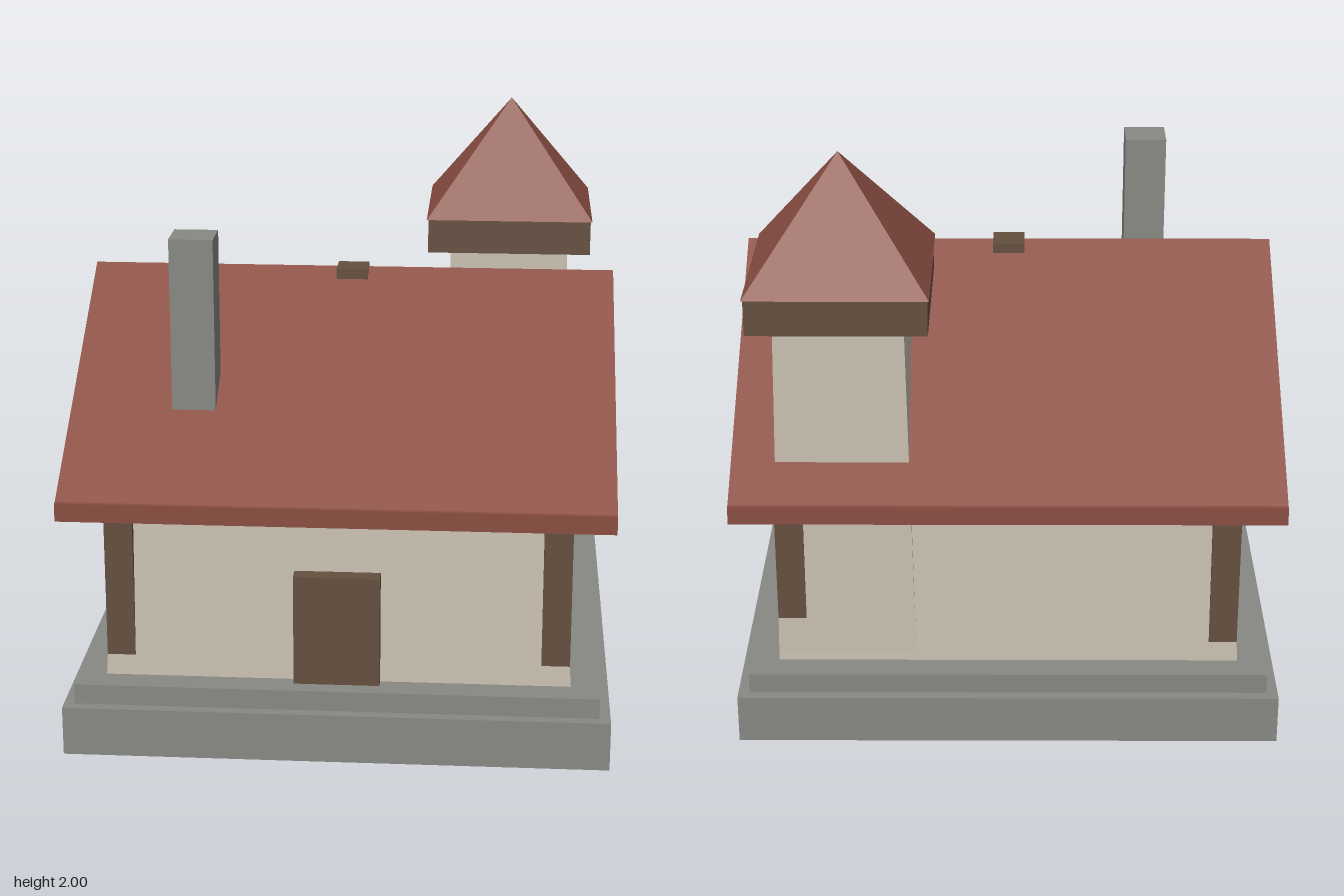
import * as THREE from 'three';

const material = (name, color) => {
  const m = new THREE.MeshStandardMaterial({ color });
  m.name = name;
  return m;
};

export function createModel() {
  const house = new THREE.Group();
  house.name = 'house';
  const stone = material('grey stone', 0x888884);
  const plaster = material('beige plaster', 0xc8bfb0);
  const wood = material('brown wood', 0x655040);
  const tile = material('red tile', 0x8a4e42);

  const add = (name, geometry, mat, x = 0, y = 0, z = 0) => {
    const mesh = new THREE.Mesh(geometry, mat);
    mesh.name = name;
    mesh.position.set(x, y, z);
    house.add(mesh);
    return mesh;
  };
  // Box given by its size, bottom height and centre
  const box = (name, mat, w, h, d, x, y, z) =>
    add(name, new THREE.BoxGeometry(w, h, d), mat, x, y + h / 2, z);
  // Square block that narrows from half-width b at the bottom to t at the top
  const taper = (b, t, h) => {
    const g = new THREE.BoxGeometry(2, h, 2);
    const p = g.attributes.position;
    for (let i = 0; i < p.count; i++) {
      const s = p.getY(i) > 0 ? t : b;
      p.setX(i, p.getX(i) * s);
      p.setZ(i, p.getZ(i) * s);
    }
    g.computeVertexNormals();
    return g;
  };

  // Stepped foundation
  box('foundation', stone, 1.84, 0.17, 1.84, 0, 0, 0);
  box('foundationStep', stone, 1.765, 0.07, 1.765, 0, 0.17, 0);

  // Slightly battered walls, with corner posts emerging from them
  add('walls', taper(0.787, 0.75, 0.66), plaster, 0, 0.57, 0);
  for (const x of [-1, 1]) for (const z of [-1, 1]) {
    box('cornerPost', wood, 0.096, 0.6, 0.096, x * 0.735, 0.3, z * 0.735);
  }
  box('door', wood, 0.29, 0.385, 0.09, 0, 0.24, 0.78);

  // Gable roof with a fascia board along each eave
  const gable = new THREE.Shape();
  gable.moveTo(-0.915, 0.9);
  gable.lineTo(0.915, 0.9);
  gable.lineTo(0, 1.487);
  gable.closePath();
  const roof = new THREE.ExtrudeGeometry(gable, { depth: 1.836, bevelEnabled: false });
  roof.translate(0, 0, -0.918);
  roof.rotateY(Math.PI / 2);
  add('roof', roof, tile);
  for (const z of [-1, 1]) box('fascia', tile, 1.836, 0.063, 0.02, 0, 0.84, z * 0.915);
  box('ridgeBlock', wood, 0.11, 0.037, 0.11, 0, 1.453, 0);

  // Chimney
  box('chimney', stone, 0.148, 0.7, 0.148, -0.5, 1.01, 0.497);

  // Corner tower
  add('tower', taper(0.236, 0.213, 1.24), plaster, 0.55, 0.86, -0.55);
  box('towerCollar', wood, 0.588, 0.122, 0.588, 0.55, 1.478, -0.55);
  const spire = new THREE.ConeGeometry(0.3 * Math.SQRT2, 0.4, 4, 1).toNonIndexed();
  spire.rotateY(Math.PI / 4);
  spire.computeVertexNormals();
  add('towerRoof', spire, tile, 0.55, 1.8, -0.55);

  return house;
}
